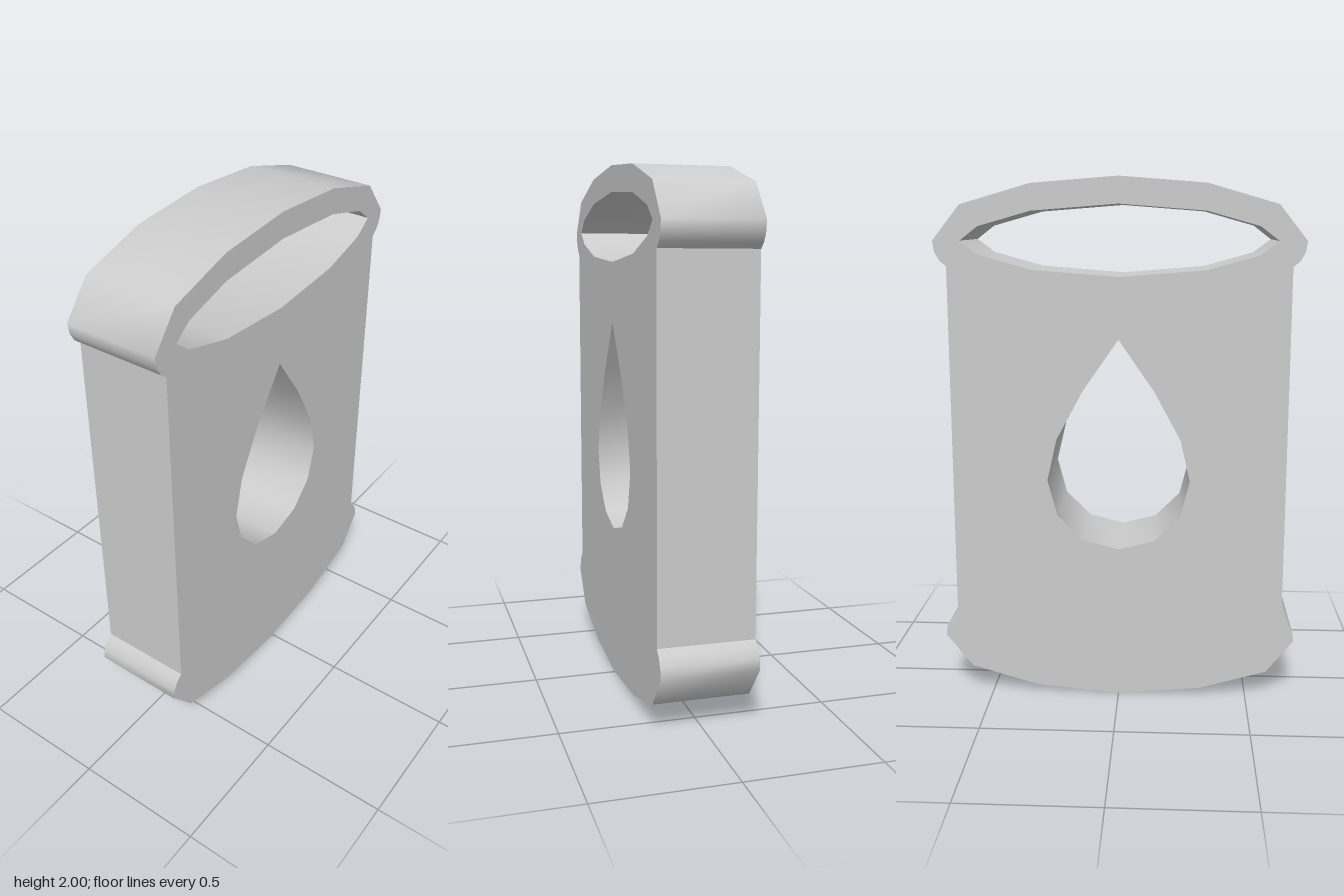
import * as THREE from 'three';
import { toCreasedNormals } from 'three/addons/utils/BufferGeometryUtils.js';

const DEPTH = 0.36;

// Closed counter-clockwise loop from its right half, listed top to bottom; points on x = 0 are not doubled
function mirrored(half) {
  const left = half.filter(([x]) => x > 0).reverse().map(([x, y]) => [-x, y]);
  return [...half, ...left].reverse().map(([x, y]) => new THREE.Vector2(x, y));
}

export function createModel() {
  const group = new THREE.Group();

  // Can outline: domed rim with a rounded lip, repeated upside down at the base
  const rim = [[0, 2], [0.32, 1.975], [0.58, 1.9], [0.684, 1.77], [0.678, 1.73], [0.66, 1.698], [0.635, 1.677]];
  const base = rim.map(([x, y]) => [x, 2.003 - y]).reverse();
  base[base.length - 1][1] = 0;
  const outline = new THREE.Shape(mirrored([...rim, ...base]));

  // Flattened oval opening in the lid
  const lidOpening = [[0, 1.902], [0.32, 1.877], [0.515, 1.822], [0.583, 1.77], [0.515, 1.719], [0.32, 1.665], [0, 1.64]];
  // Drop-shaped window
  const dropWindow = [[0, 1.41], [0.135, 1.215], [0.235, 1.03], [0.272, 0.87], [0.235, 0.73], [0.138, 0.633], [0, 0.597]];
  for (const half of [lidOpening, dropWindow]) outline.holes.push(new THREE.Path(mirrored(half)));

  const geometry = new THREE.ExtrudeGeometry(outline, { depth: DEPTH, bevelEnabled: false });
  geometry.translate(0, 0, -DEPTH / 2);

  const plate = new THREE.Mesh(
    toCreasedNormals(geometry, 0.855),
    new THREE.MeshStandardMaterial({ color: 0xcccccc })
  );
  plate.name = 'canPlate';
  group.add(plate);
  return group;
}
